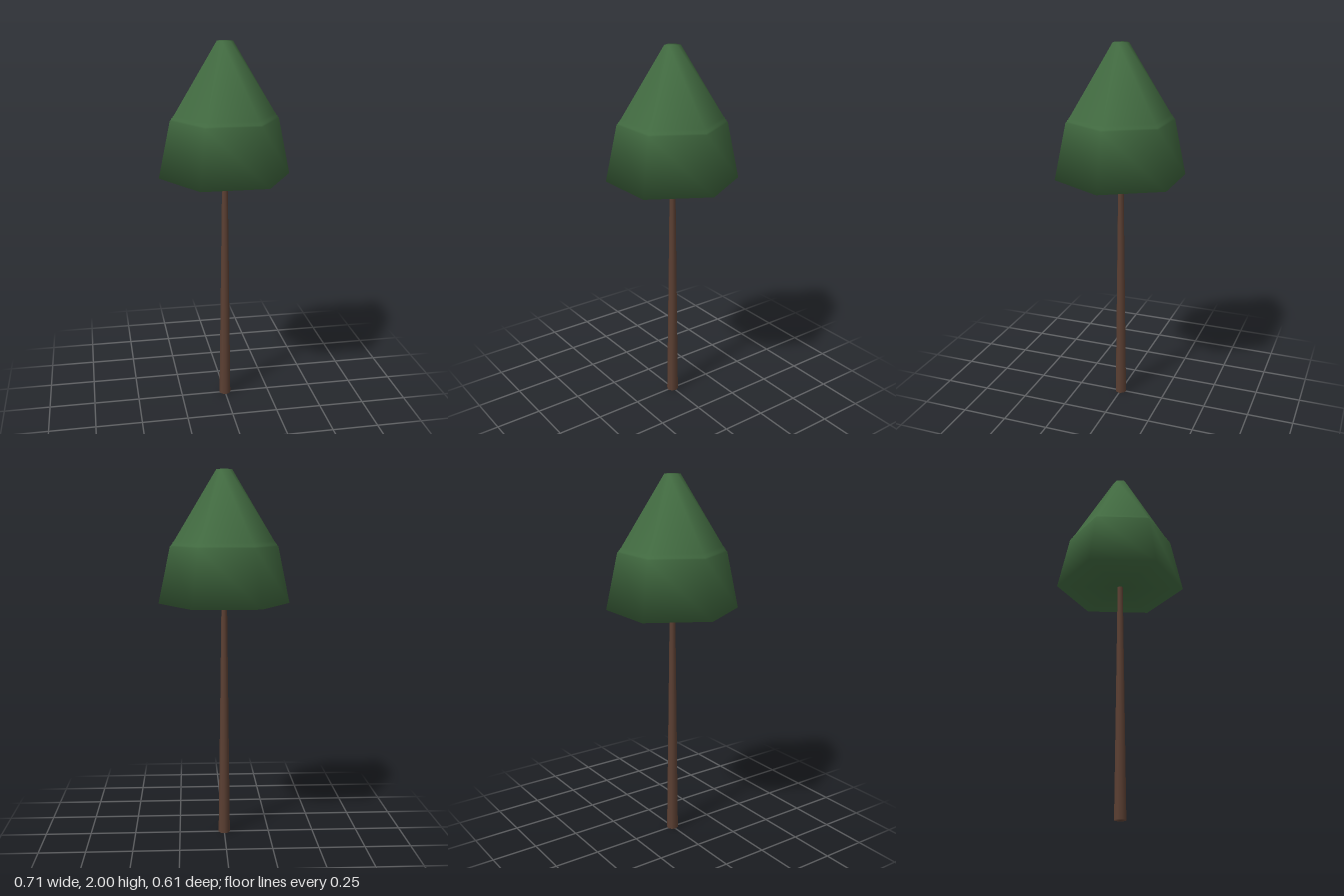
import * as THREE from 'three';

export function createModel() {
  const tree = new THREE.Group();
  tree.name = 'tree';

  const bark = new THREE.MeshStandardMaterial({ color: 0x5c4033 });
  bark.name = 'bark brown';
  const leaf = new THREE.MeshStandardMaterial({ color: 0x426b41 });
  leaf.name = 'leaf green';

  // Smooth-shaded turned solid; profile runs bottom to top as [radius, y]
  const turned = (name, profile, sides, start, material) => {
    const points = profile.map(([r, y]) => new THREE.Vector2(r, y));
    const mesh = new THREE.Mesh(new THREE.LatheGeometry(points, sides, start), material);
    mesh.name = name;
    tree.add(mesh);
  };

  // Slender tapering trunk, closed at the foot
  turned('trunk', [[0, 0], [0.032, 0], [0.015, 1.32]], 8, 0, bark);

  // Six-sided canopy: flared skirt, narrow stepped band, steep cone with a blunt tip
  turned('canopy', [
    [0, 1.297], [0.353, 1.297],
    [0.289, 1.6], [0.281, 1.607], [0.2805, 1.612], [0.274, 1.617], [0.2735, 1.622], [0.267, 1.628],
    [0.042, 2], [0, 2],
  ], 6, Math.PI / 6, leaf);

  return tree;
}
